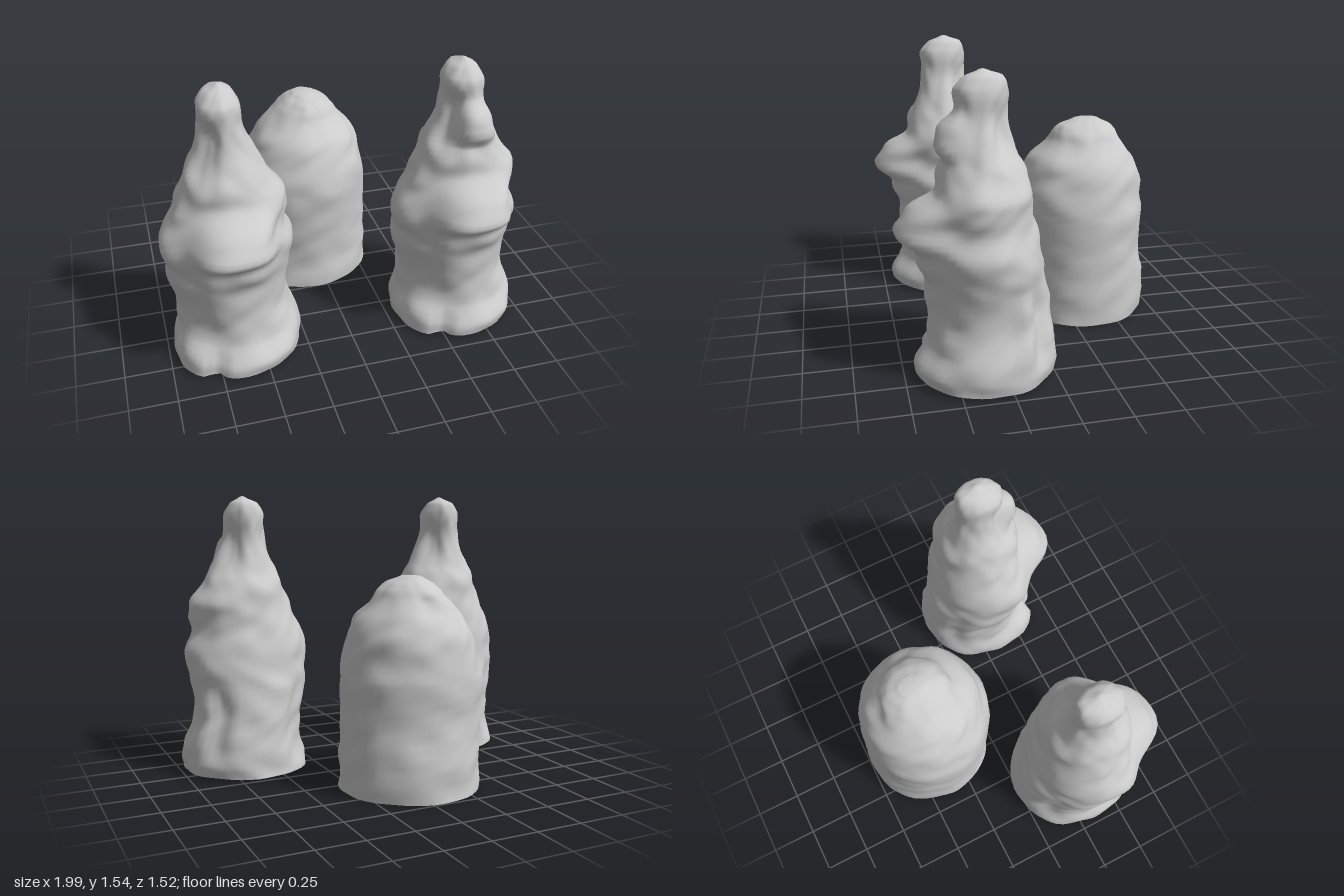
import * as THREE from 'three';

const material = new THREE.MeshStandardMaterial({ color: 0xcccccc });
const SIDES = 56;

// Outline rows: y, min x, max x, min z, max z (about the model's own axis)
const FIGURE = [
  [0.03, -0.34, 0.35, -0.36, 0.35], [0.1, -0.33, 0.36, -0.36, 0.35], [0.2, -0.3, 0.34, -0.35, 0.29],
  [0.35, -0.3, 0.29, -0.34, 0.28], [0.5, -0.34, 0.3, -0.32, 0.29], [0.6, -0.34, 0.32, -0.3, 0.29],
  [0.7, -0.36, 0.33, -0.28, 0.29], [0.8, -0.33, 0.29, -0.26, 0.28], [0.9, -0.28, 0.29, -0.24, 0.25],
  [0.97, -0.25, 0.29, -0.23, 0.23], [1.05, -0.22, 0.23, -0.22, 0.22], [1.13, -0.19, 0.19, -0.18, 0.18],
  [1.25, -0.14, 0.13, -0.14, 0.14], [1.35, -0.12, 0.1, -0.13, 0.13], [1.45, -0.12, 0.09, -0.13, 0.13],
  [1.51, -0.08, 0.06, -0.11, 0.08], [1.54, -0.02, 0.01, -0.03, 0.01],
];
const DOME = [
  [0.01, -0.37, 0.38, -0.37, 0.37], [0.2, -0.37, 0.38, -0.37, 0.36], [0.4, -0.38, 0.37, -0.35, 0.37],
  [0.6, -0.39, 0.37, -0.36, 0.38], [0.72, -0.36, 0.35, -0.34, 0.37], [0.83, -0.32, 0.33, -0.33, 0.33],
  [0.92, -0.27, 0.29, -0.28, 0.3], [1.0, -0.2, 0.22, -0.23, 0.21], [1.06, -0.14, 0.18, -0.19, 0.17],
  [1.1, -0.09, 0.13, -0.15, 0.13], [1.13, -0.04, 0.06, -0.09, 0.05],
];

// Lumps: angle (0 = +x, PI/2 = front), angular width, height, vertical width, swell
const BODY_LUMPS = [
  [1.54, 0.58, 0.82, 0.11, 0.12], [1.54, 0.6, 0.69, 0.12, 0.04], // folded arms and sleeves
  [2.45, 0.28, 0.08, 0.08, 0.03],   // foot
  [2.05, 0.12, 0.07, 0.08, -0.035], // gap beside the foot
  [-0.75, 0.18, 0.32, 0.2, -0.028], [-0.45, 0.16, 0.32, 0.2, 0.015], // robe folds
  [-2.3, 0.18, 0.35, 0.22, -0.02], [2.4, 0.4, 0.36, 0.18, -0.02],
  [0.3, 0.35, 0.93, 0.08, 0.015], [2.8, 0.35, 0.72, 0.1, 0.015], // shoulders
  [-0.78, 0.5, 1.24, 0.13, -0.035], [2.36, 0.5, 1.24, 0.13, -0.035], // hollows below the cap
];
const FACE = [1.5, 0.7, 1.235, 0.09, 0.08];
const DOME_LUMPS = [[1.3, 0.7, 0.75, 0.14, 0.012], [-1.6, 0.35, 0.98, 0.05, -0.02]];

const catmull = (a, b, c, d, t) =>
  0.5 * (2 * b + (c - a) * t + (2 * a - 5 * b + 4 * c - d) * t * t + (3 * b - a - 3 * c + d) * t ** 3);

// Weathered surface: small irregular dents and ridges
const weather = (a, y) =>
  0.005 * Math.sin(5 * a + 2 * Math.sin(7 * y)) * Math.sin(17 * y + 2 * Math.sin(2 * a)) +
  0.004 * Math.sin(9 * a - 3 * Math.sin(11 * y)) * Math.cos(27 * y + 1.5 * Math.sin(3 * a)) +
  0.003 * Math.sin(36 * y + 2 * Math.sin(a * 3 + 1));

function carvedBody(rows, lumps) {
  const pos = [], index = [], steps = 4, n = rows.length;
  const row = i => rows[Math.min(Math.max(i, 0), n - 1)];
  const levels = (n - 1) * steps;
  for (let l = 0; l <= levels; l++) {
    const i = Math.min(Math.floor(l / steps), n - 2), t = l / steps - i;
    const [y, x0, x1, z0, z1] = row(i).map((_, k) =>
      k === 0 ? THREE.MathUtils.lerp(row(i)[0], row(i + 1)[0], t)
        : catmull(row(i - 1)[k], row(i)[k], row(i + 1)[k], row(i + 2)[k], t));
    const cx = (x0 + x1) / 2, cz = (z0 + z1) / 2, rx = (x1 - x0) / 2, rz = (z1 - z0) / 2;
    for (let s = 0; s < SIDES; s++) {
      const a = s / SIDES * Math.PI * 2;
      let swell = weather(a, y) * Math.min(1, (rx + rz) / 0.4);
      for (const [la, wa, ly, wy, h] of lumps) {
        const da = Math.atan2(Math.sin(a - la), Math.cos(a - la));
        swell += h * Math.exp(-(Math.abs(da / wa) ** 3) - ((y - ly) / wy) ** 4);
      }
      pos.push(cx + Math.cos(a) * (rx + swell), y, cz + Math.sin(a) * (rz + swell));
    }
  }
  for (let l = 0; l < levels; l++) {
    for (let s = 0; s < SIDES; s++) {
      const p = l * SIDES + s, q = l * SIDES + (s + 1) % SIDES;
      index.push(p, p + SIDES, q, q, p + SIDES, q + SIDES);
    }
  }
  // Rounded tip
  const last = row(n - 1), tip = pos.length / 3;
  pos.push((last[1] + last[2]) / 2, last[0] + 0.006, (last[3] + last[4]) / 2);
  for (let s = 0; s < SIDES; s++) index.push(levels * SIDES + s, tip, levels * SIDES + (s + 1) % SIDES);
  // Flat underside with its own ring, so the rim stays sharp
  const ring = pos.length / 3;
  pos.push(...pos.slice(0, SIDES * 3), 0, rows[0][0], 0);
  for (let s = 0; s < SIDES; s++) index.push(ring + s, ring + (s + 1) % SIDES, ring + SIDES);

  const geometry = new THREE.BufferGeometry();
  geometry.setAttribute('position', new THREE.Float32BufferAttribute(pos, 3));
  geometry.setIndex(index);
  geometry.computeVertexNormals();
  return geometry;
}

export function createModel() {
  const group = new THREE.Group();
  group.name = 'carvedFigures';
  const add = (name, rows, lumps, x, z) => {
    const mesh = new THREE.Mesh(carvedBody(rows, lumps), material);
    mesh.name = name;
    mesh.position.set(x, 0, z);
    group.add(mesh);
  };
  add('rightFigure', FIGURE, BODY_LUMPS, -0.63, 0.34);
  add('leftFigure', FIGURE, [...BODY_LUMPS, FACE], 0.63, 0.34);
  add('domedStone', DOME, DOME_LUMPS, -0.06, -0.37);
  return group;
}
